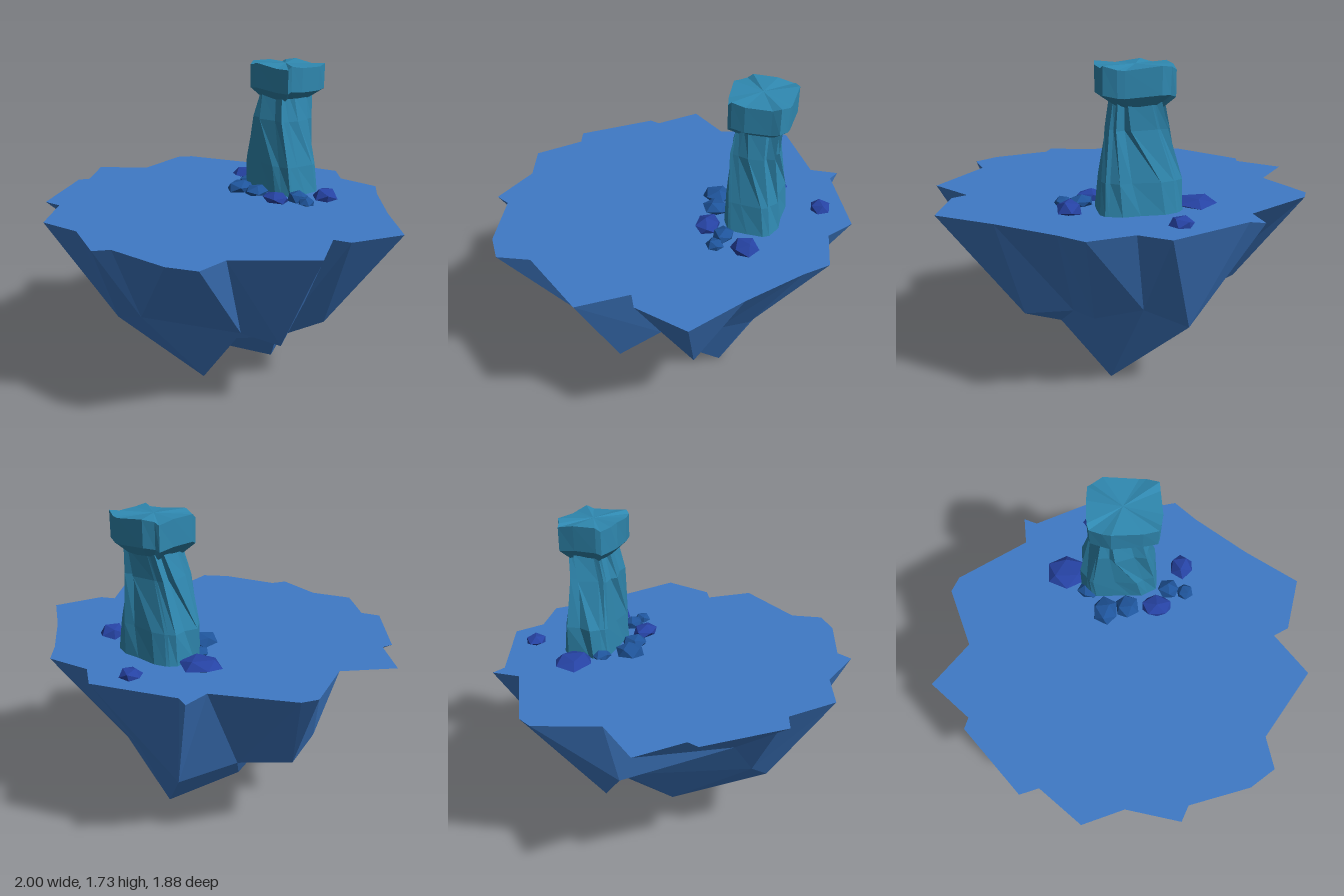
import * as THREE from 'three';

const GROUND = 1.01;
const paint = (color) => new THREE.MeshStandardMaterial({ color, flatShading: true, roughness: 0.9 });

function facetMesh(name, tris, material) {
  const g = new THREE.BufferGeometry();
  g.setAttribute('position', new THREE.Float32BufferAttribute(tris.flat(2), 3));
  g.computeVertexNormals();
  const m = new THREE.Mesh(g, material);
  m.name = name;
  return m;
}

// Joins two closed loops; map[i] is the lower point used by upper edge i.
// Triangles that collapse where the loops share a point are dropped.
function stitch(upper, lower, map) {
  const tris = [], n = upper.length, k = lower.length;
  for (let i = 0; i < n; i++) {
    const next = upper[(i + 1) % n];
    tris.push([upper[i], next, lower[map[i] % k]]);
    const end = i + 1 < n ? map[i + 1] : map[0] + k;
    for (let j = map[i]; j < end; j++) tris.push([next, lower[(j + 1) % k], lower[j % k]]);
  }
  return tris.filter((t) => new Set(t).size === 3);
}

// Joins a stack of equal loops, bottom to top, and closes the ends with fans.
function loft(loops, bottomCentre, topCentre) {
  const tris = [], n = loops[0].length, top = loops[loops.length - 1];
  for (let i = 0; i < n; i++) {
    const j = (i + 1) % n;
    for (let r = 0; r + 1 < loops.length; r++) {
      const lo = loops[r], hi = loops[r + 1];
      tris.push([hi[i], hi[j], lo[i]], [hi[j], lo[j], lo[i]]);
    }
    tris.push([topCentre, top[j], top[i]], [bottomCentre, loops[0][i], loops[0][j]]);
  }
  return tris;
}

// Rounded-box cross-section with irregular folds.
function section(n, [y, x0, x1, z0, z1, twist, fold], waveY = 0) {
  const sq = (v) => Math.sign(v) * Math.pow(Math.abs(v), 0.5);
  return Array.from({ length: n }, (_, i) => {
    const a = ((i + 0.3 * Math.sin(i * 2.3)) / n) * Math.PI * 2 + twist;
    const r = 1 - fold * (0.5 + 0.5 * Math.sin(i * 2.6 + 0.5));
    return [
      (x0 + x1) / 2 + ((x1 - x0) / 2) * r * sq(Math.cos(a)),
      y + waveY * Math.sin(i * 1.9),
      (z0 + z1) / 2 + ((z1 - z0) / 2) * r * sq(Math.sin(a)),
    ];
  });
}

function island() {
  const group = new THREE.Group();
  group.name = 'island';
  const material = paint(0x3f7ac6);
  const outline = [
    [-0.03, -0.94], [0.11, -0.84], [0.35, -0.88], [0.46, -0.77], [0.73, -0.55], [1, -0.36],
    [0.92, -0.08], [0.84, -0.04], [1, 0.18], [0.74, 0.52], [0.77, 0.69], [0.64, 0.78],
    [0.32, 0.86], [0.28, 0.94], [0, 0.87], [-0.22, 0.94], [-0.43, 0.75], [-0.53, 0.78],
    [-0.82, 0.43], [-0.8, 0.37], [-1, 0.18], [-0.81, -0.04], [-0.92, -0.36], [-0.88, -0.44],
    [-0.51, -0.65], [-0.52, -0.8], [-0.45, -0.77],
  ];
  const hollow = [-0.28, 0.35, -0.17];
  const crags = [
    [0.02, 0.53, -0.61], [0.25, 0.45, -0.49], [0.33, 0.43, -0.33], [0.58, 0.41, -0.27],
    [0.6, 0.58, -0.1], [0.66, 0.42, 0.11], [0.55, 0.5, 0.28], [0.13, 0.52, 0.6],
    [-0.11, 0.43, 0.6], [-0.26, 0.55, 0.55], [-0.33, 0.71, 0.47], [-0.67, 0.61, -0.03],
    [-0.62, 0.47, -0.13], hollow, [-0.23, 0.39, -0.57],
  ];
  // Two low tips joined by a saddle, with a deep cleft on the +x side
  const backTip = [0.125, 0, -0.3], frontTip = [0.22, 0.1, 0.27], saddle = [-0.1, 0.12, 0.05];
  const ledge = [0.37, 0.28, -0.12], cleft = [0.28, 0.56, 0.085];
  const tips = [backTip, ledge, cleft, saddle, frontTip, saddle, hollow];

  const rim = outline.map(([x, z]) => [x, GROUND, z]);
  const rimMap = [0, 0, 1, 2, 3, 3, 4, 4, 5, 6, 6, 7, 7, 8, 8, 9, 10, 10, 10, 10, 10, 11, 12, 13, 14, 14, 14];
  const cragMap = [0, 0, 1, 1, 2, 2, 4, 4, 5, 6, 6, 6, 6, 7, 7];
  const floor = [[backTip, ledge, saddle], [ledge, cleft, saddle], [backTip, saddle, hollow]];
  group.add(facetMesh('upperCliffs', stitch(rim, crags, rimMap), material));
  group.add(facetMesh('lowerCliffs', stitch(crags, tips, cragMap), material));
  group.add(facetMesh('underside', floor, material));

  const shape = new THREE.Shape(outline.map(([x, z]) => new THREE.Vector2(x, -z)));
  const top = new THREE.Mesh(new THREE.ShapeGeometry(shape).rotateX(-Math.PI / 2), material);
  top.position.y = GROUND;
  top.name = 'islandTop';
  group.add(top);
  return group;
}

function pillar() {
  const group = new THREE.Group();
  group.name = 'rockPillar';
  const material = paint(0x2f88b0);
  // y, x range, z range, twist, fold depth
  const trunk = [
    [GROUND, -0.2, 0.23, -0.585, -0.295, 0, 0.06],
    [1.17, -0.2, 0.22, -0.575, -0.295, 0.1, 0.12],
    [1.42, -0.135, 0.185, -0.555, -0.295, 0.35, 0.22],
    [1.56, -0.1, 0.16, -0.565, -0.325, 0.5, 0.22],
  ].map((s) => section(20, s));
  group.add(facetMesh('trunk', loft(trunk, [0.01, GROUND, -0.44], [0.02, 1.56, -0.45]), material));

  const cap = [
    [1.535, -0.1, 0.155, -0.56, -0.33, 0.1, 0.14],
    [1.585, -0.155, 0.23, -0.605, -0.28, 0.1, 0.09],
    [1.715, -0.155, 0.23, -0.605, -0.28, 0.1, 0.07],
  ].map((s, i) => section(16, s, i === 2 ? 0.012 : 0.008));
  group.add(facetMesh('cap', loft(cap, [0.03, 1.54, -0.44], [0.03, 1.72, -0.44]), material));
  return group;
}

function rocks() {
  const group = new THREE.Group();
  group.name = 'looseRocks';
  const indigo = paint(0x2643a4), blue = paint(0x1f559c);
  // x, z, half width, half depth, height, material
  const list = [
    [-0.28, -0.45, 0.11, 0.1, 0.05, indigo], [-0.12, -0.76, 0.06, 0.055, 0.05, indigo],
    [0.36, -0.46, 0.065, 0.07, 0.07, indigo], [0.21, -0.23, 0.085, 0.065, 0.05, indigo],
    [-0.07, -0.21, 0.07, 0.08, 0.06, blue], [0.05, -0.23, 0.065, 0.07, 0.055, blue],
    [0.28, -0.33, 0.06, 0.055, 0.055, blue], [0.37, -0.31, 0.045, 0.045, 0.045, blue],
    [-0.16, -0.34, 0.06, 0.05, 0.045, blue],
  ];
  list.forEach(([x, z, w, d, h, material], i) => {
    const g = new THREE.IcosahedronGeometry(1, 0);
    g.rotateX(i * 1.3 + 0.4).rotateY(i * 2.1);
    // Flatten the underside onto the ground
    const p = g.attributes.position;
    for (let v = 0; v < p.count; v++) p.setY(v, Math.max(p.getY(v), -0.25));
    g.translate(0, 0.25, 0).scale(w * 1.06, h / 1.2, d * 1.06);
    g.computeVertexNormals();
    const rock = new THREE.Mesh(g, material);
    rock.position.set(x, GROUND, z);
    rock.name = 'rock' + (i + 1);
    group.add(rock);
  });
  return group;
}

export function createModel() {
  const model = new THREE.Group();
  model.name = 'floatingIsland';
  model.add(island(), pillar(), rocks());
  return model;
}
